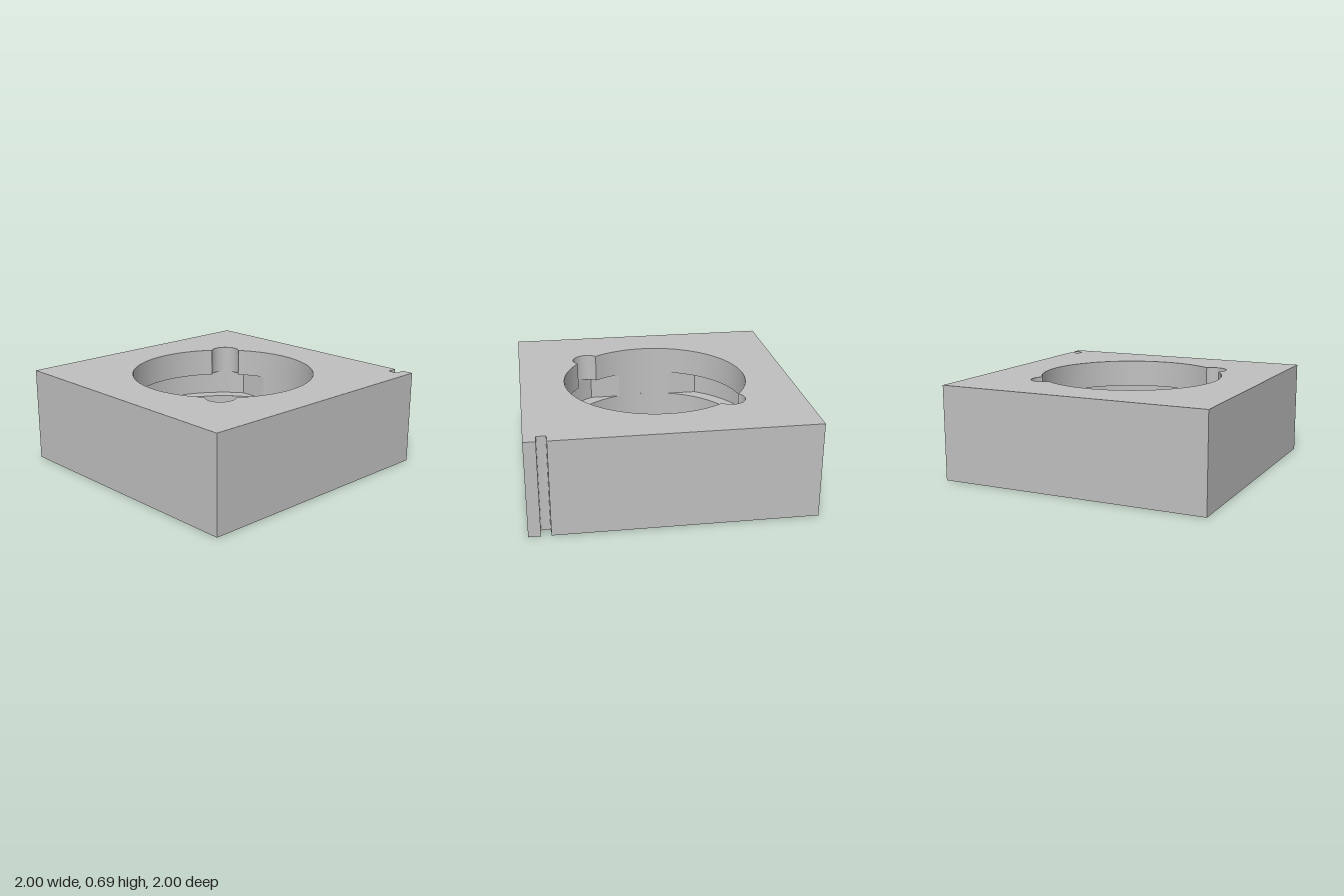
import * as THREE from 'three';
import { toCreasedNormals } from 'three/addons/utils/BufferGeometryUtils.js';

const H = 0.695;                              // block height
const LIP_R = 0.617, BORE_R = 0.675, SLOT_R = 0.775, SLOT_X = 0.645;
const LIP_Y = 0.092, FLOOR_Y = 0.305, CEIL_Y = 0.49;
const POCKET_D = 0.666, POCKET_R = 0.108;     // pocket distance from axis, radius
const AI = Math.acos(SLOT_X / BORE_R), AO = Math.acos(SLOT_X / SLOT_R);

// Plan points are (x, -z), counter-clockwise seen from above.
const polar = (r, a) => new THREE.Vector2(r * Math.cos(a), r * Math.sin(a));

function arc(r, a0, a1) {
  const n = Math.max(2, Math.ceil(Math.abs(a1 - a0) / (Math.PI / 64)));
  return Array.from({ length: n + 1 }, (_, i) => polar(r, a0 + (a1 - a0) * i / n));
}

// Half of the bore edge, bulging outward round the loading pocket
function boreWithPocket(a0, a1, mid) {
  const cosD = (BORE_R ** 2 + POCKET_D ** 2 - POCKET_R ** 2) / (2 * BORE_R * POCKET_D);
  const d = Math.acos(cosD);
  const phi = Math.atan2(BORE_R * Math.sin(d), BORE_R * cosD - POCKET_D);
  const bulge = arc(POCKET_R, mid - phi, mid + phi).map(p => p.add(polar(POCKET_D, mid)));
  return [...arc(BORE_R, a0, mid - d), ...bulge.slice(1, -1), ...arc(BORE_R, mid + d, a1)];
}

// Vertical wall along a path; it faces the right of the direction of travel
function wall(points, y0, y1) {
  const pos = [];
  for (let i = 0; i < points.length - 1; i++) {
    const p = points[i], q = points[i + 1];
    pos.push(p.x, y0, -p.y, q.x, y0, -q.y, q.x, y1, -q.y);
    pos.push(p.x, y0, -p.y, q.x, y1, -q.y, p.x, y1, -p.y);
  }
  const g = new THREE.BufferGeometry();
  g.setAttribute('position', new THREE.Float32BufferAttribute(pos, 3));
  return toCreasedNormals(g, 0.5);
}
const innerWall = (points, y0, y1) => wall([...points].reverse(), y0, y1);

// Horizontal face with an optional hole, facing up or down
function plate(points, hole, y, up) {
  const shape = new THREE.Shape(points);
  if (hole) shape.holes.push(new THREE.Path(hole));
  const g = new THREE.ShapeGeometry(shape);
  g.rotateX(-Math.PI / 2).translate(0, y, 0);
  if (!up) {
    g.setIndex(Array.from(g.index.array).reverse());
    g.computeVertexNormals();
  }
  return g;
}

export function createModel() {
  const group = new THREE.Group();
  const grey = new THREE.MeshStandardMaterial({ color: 0xbfbfbf });
  grey.name = 'grey';
  const add = (name, geometry) => {
    const mesh = new THREE.Mesh(geometry, grey);
    mesh.name = name;
    group.add(mesh);
  };

  // Square outline with the small key notch near the front corner
  const outline = new THREE.Shape();
  outline.moveTo(-1, -1);
  outline.lineTo(1, -1);
  outline.lineTo(1, -0.915);
  outline.lineTo(0.93, -0.915);
  outline.quadraticCurveTo(0.92, -0.915, 0.92, -0.905);
  outline.lineTo(0.92, -0.855);
  outline.quadraticCurveTo(0.92, -0.845, 0.93, -0.845);
  outline.lineTo(1, -0.845);
  outline.lineTo(1, 1);
  outline.lineTo(-1, 1);
  outline.lineTo(-1, -1);
  const square = outline.getPoints(4);
  const face = square.slice(0, -1);

  const circle = r => arc(r, 0, Math.PI * 2);
  const open = pts => pts.slice(0, -1);
  const mouth = [
    ...boreWithPocket(0, Math.PI, Math.PI / 4),
    ...boreWithPocket(Math.PI, Math.PI * 2, Math.PI * 1.25).slice(1),
  ];

  // Block shell
  add('blockSides', wall(square, 0, H));
  add('blockTop', plate(face, open(mouth), H, true));
  add('blockBottom', plate(face, open(circle(LIP_R)), 0, false));

  // Bore: upper wall with pockets, lower wall, and the retaining lip
  add('upperBore', innerWall(mouth, CEIL_Y, H));
  add('lowerBore', innerWall(circle(BORE_R), LIP_Y, FLOOR_Y));
  add('lipWall', innerWall(circle(LIP_R), 0, LIP_Y));
  add('lipLedge', plate(open(circle(BORE_R)), open(circle(LIP_R)), LIP_Y, true));

  // Two opposite bayonet slots, flat at their ends
  for (const turn of [0, Math.PI]) {
    const a0 = turn + AI, a1 = turn + Math.PI - AI;
    const outer = arc(SLOT_R, turn + AO, turn + Math.PI - AO);
    const inner = arc(BORE_R, a0, a1);
    const ceiling = boreWithPocket(a0, a1, turn + Math.PI / 4);
    add('slotWall', innerWall([polar(BORE_R, a0), ...outer, polar(BORE_R, a1)], FLOOR_Y, CEIL_Y));
    add('slotFloor', plate([...outer, ...inner.reverse()], null, FLOOR_Y, true));
    add('slotCeiling', plate([...outer, ...ceiling.reverse()], null, CEIL_Y, false));
    add('boreBetweenSlots', innerWall(arc(BORE_R, turn - AI, turn + AI), FLOOR_Y, CEIL_Y));
  }
  return group;
}
